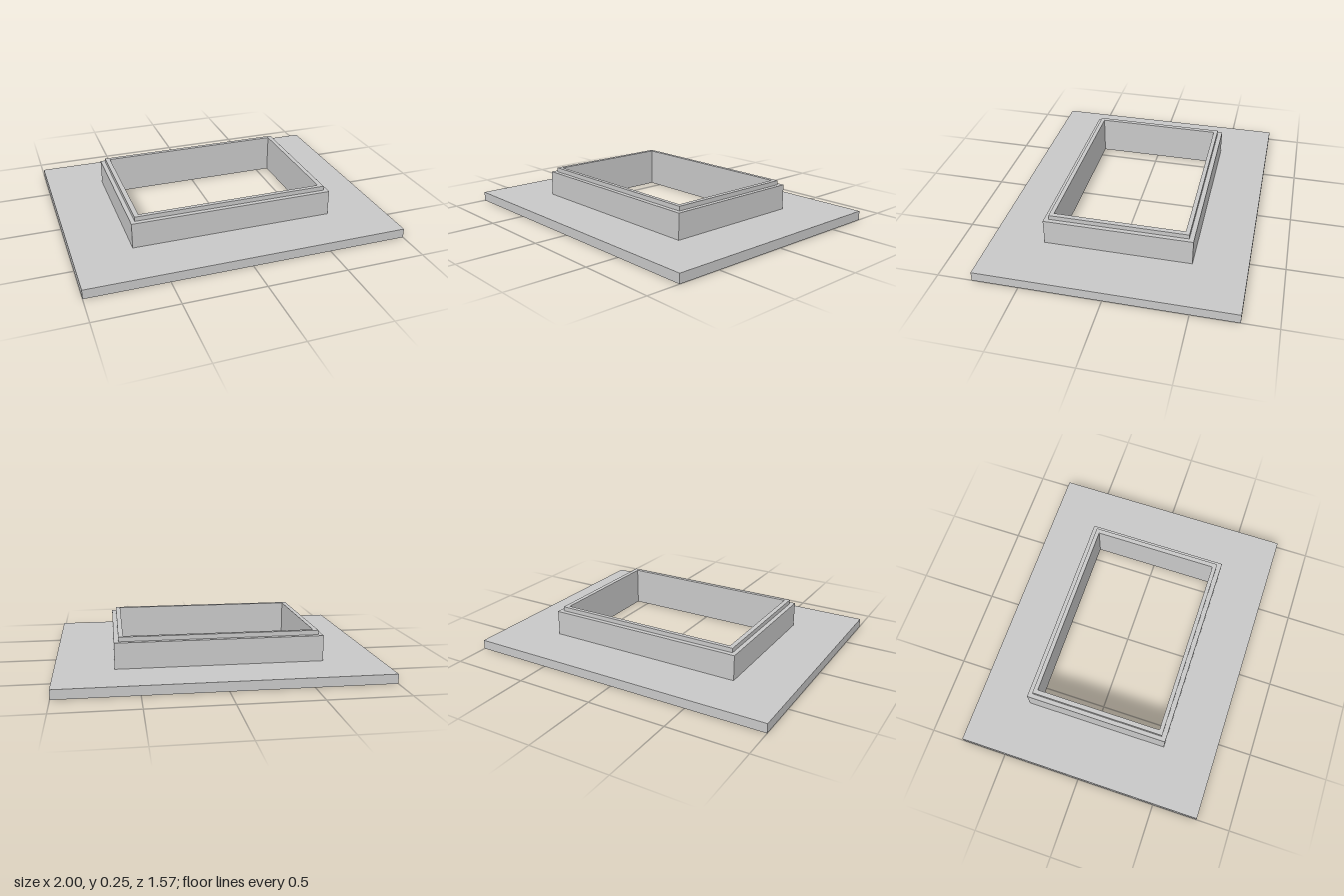
import * as THREE from 'three';

const OPEN_X = 0.584, OPEN_Z = 0.402;

// Traces a centred rectangle, given half sizes
function rect(path, hx, hz) {
  path.moveTo(-hx, -hz);
  path.lineTo(hx, -hz);
  path.lineTo(hx, hz);
  path.lineTo(-hx, hz);
  path.closePath();
  return path;
}

export function createModel() {
  const model = new THREE.Group();
  model.name = 'flangedFrame';
  const grey = new THREE.MeshStandardMaterial({ color: 0xc8c8c8 });
  grey.name = 'lightGrey';

  // Rectangular ring from y0 to y1 around the central opening
  function ring(name, hx, hz, y0, y1, holes = []) {
    const shape = rect(new THREE.Shape(), hx, hz);
    shape.holes.push(rect(new THREE.Path(), OPEN_X, OPEN_Z), ...holes);
    const geometry = new THREE.ExtrudeGeometry(shape, {
      depth: y1 - y0, bevelEnabled: false, curveSegments: 16,
    });
    geometry.rotateX(-Math.PI / 2).translate(0, y0, 0);
    const mesh = new THREE.Mesh(geometry, grey);
    mesh.name = name;
    model.add(mesh);
  }

  // Blind round holes near the corners of the underside
  const sockets = [];
  for (const sx of [-1, 1]) {
    for (const sz of [-1, 1]) {
      sockets.push(new THREE.Path().absarc(sx * 0.857, sz * 0.643, 0.028, 0, Math.PI * 2, true));
    }
  }

  ring('flangeUnderside', 1, 0.785, 0, 0.04, sockets);
  ring('flangeTop', 1, 0.785, 0.04, 0.059);
  ring('collarWall', 0.64, 0.457, 0.059, 0.22);
  ring('collarLip', 0.613, 0.428, 0.22, 0.248);

  return model;
}
